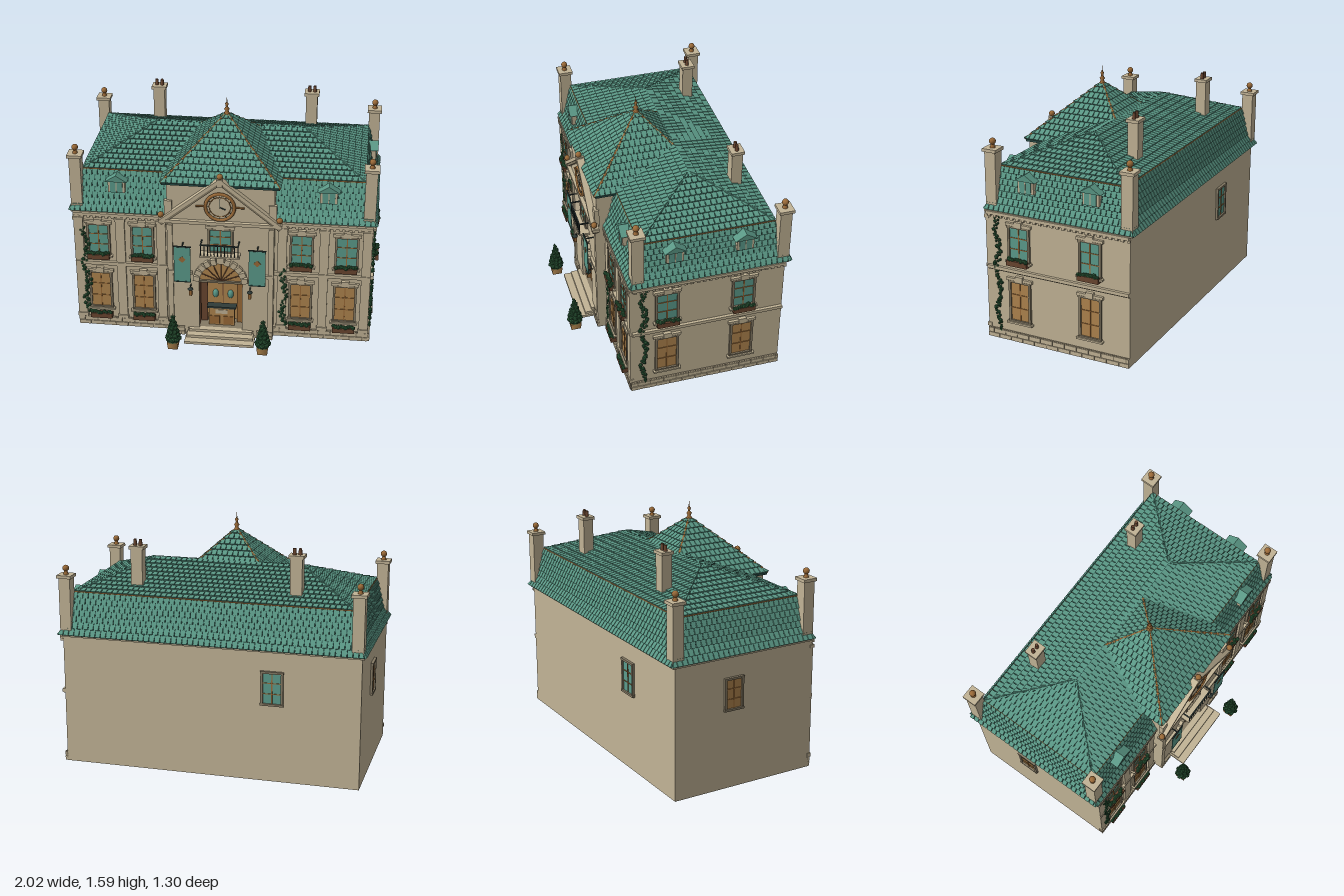
import * as THREE from 'three';

const M = {};
for (const [n, c] of Object.entries({
  stone: 0xc2b496, stoneShade: 0x857a64, tile: 0x5a9785, tileGap: 0x2b4f49, glass: 0x5c9c8c,
  wood: 0xb0854e, darkWood: 0x6a4630, copper: 0x9a6a38, leaf: 0x2c5a38, iron: 0x2f3b38,
})) { M[n] = new THREE.MeshStandardMaterial({ color: c }); M[n].name = n; }
M.stone.side = M.glass.side = THREE.DoubleSide;

let seed = 7;
const rnd = () => (seed = (seed * 16807) % 2147483647) / 2147483647;
const V = (x, y, z) => new THREE.Vector3(x, y, z);

function put(p, name, geo, mat, x = 0, y = 0, z = 0) {
  const m = new THREE.Mesh(geo, mat);
  m.name = name; m.position.set(x, y, z); p.add(m);
  return m;
}
const box = (p, name, mat, w, h, d, x, y, z) => put(p, name, new THREE.BoxGeometry(w, h, d), mat, x, y, z);
const ballGeo = new THREE.SphereGeometry(1, 14, 10), leafGeo = new THREE.IcosahedronGeometry(1, 0);
const ball = (p, name, mat, r, x, y, z) => { const m = put(p, name, ballGeo, mat, x, y, z); m.scale.setScalar(r); return m; };
const leaf = (p, r, x, y, z) => { const m = put(p, 'leaf', leafGeo, M.leaf, x, y, z); m.scale.setScalar(r); m.rotation.set(rnd() * 6, rnd() * 6, 0); };
function group(p, name, x = 0, y = 0, z = 0, ry = 0) {
  const g = new THREE.Group();
  g.name = name; g.position.set(x, y, z); g.rotation.y = ry; p.add(g);
  return g;
}
function rod(p, name, mat, a, b, r) {
  const m = put(p, name, new THREE.CylinderGeometry(r, r, a.distanceTo(b), 6), mat);
  m.position.copy(a).lerp(b, 0.5);
  m.quaternion.setFromUnitVectors(V(0, 1, 0), b.clone().sub(a).normalize());
}
const extrude = (s, depth) => new THREE.ExtrudeGeometry(s, { depth, bevelEnabled: false, curveSegments: 16 });
function archShape(r, y0, y1, S = THREE.Shape) {
  const s = new S();
  s.moveTo(-r, y0); s.lineTo(r, y0); s.lineTo(r, y1); s.absarc(0, y1, r, 0, Math.PI); s.lineTo(-r, y0);
  return s;
}
const rectShape = (w, y0, y1, S = THREE.Shape) => new S([[-w, y0], [w, y0], [w, y1], [-w, y1]].map(q => new THREE.Vector2(...q)));

// Roof slope a-b-c-d covered with staggered, lifted tiles
function slope(base, tiles, a, b, c, d, rows, w = 0.036) {
  const u = b.clone().sub(a).normalize(), n = b.clone().sub(a).cross(d.clone().sub(a)).normalize();
  const quad = (out, p, q, r, s) => [p, q, r, p, r, s].forEach(v => out.push(v.x, v.y, v.z));
  quad(base, a, b, c, d);
  const S = p => p.clone().sub(a).dot(u);
  for (let r = 0; r < rows; r++) {
    const v0 = r / rows, v1 = Math.min(1, (r + 1.05) / rows);
    const L0 = a.clone().lerp(d, v0), R0 = b.clone().lerp(c, v0), L1 = a.clone().lerp(d, v1), R1 = b.clone().lerp(c, v1);
    const at = (L, R, s, h) => L.clone().addScaledVector(u, Math.max(S(L), Math.min(S(R), s)) - S(L)).addScaledVector(n, h);
    for (let s = -(r % 2) * w / 2; s < S(R0); s += w) {
      const e = s + w * 0.87;
      if (e < S(L0) + 0.003) continue;
      const p = at(L0, R0, s, 0.012), q = at(L0, R0, e, 0.012), t = at(L1, R1, e, 0.003), k = at(L1, R1, s, 0.003);
      const p0 = at(L0, R0, s, 0), q0 = at(L0, R0, e, 0);
      quad(tiles, p, q, t, k); quad(tiles, p0, q0, q, p); quad(tiles, p0, p, k, k); quad(tiles, q, q0, t, t);
    }
  }
}
function roof(p, name, bands) {
  const base = [], tiles = [];
  bands.forEach(([lo, hi, rows]) => { for (let i = 0; i < 4; i++) { const j = (i + 1) % 4; slope(base, tiles, lo[i], lo[j], hi[j], hi[i], rows); } });
  [[base, M.tileGap, ' underlay'], [tiles, M.tile, ' tiles']].forEach(([arr, mat, suffix]) => {
    const g = new THREE.BufferGeometry();
    g.setAttribute('position', new THREE.Float32BufferAttribute(arr, 3));
    g.computeVertexNormals();
    put(p, name + suffix, g, mat);
  });
}
const ring = (x, z0, z1, y) => [V(-x, y, z1), V(x, y, z1), V(x, y, z0), V(-x, y, z0)];

function flowerBox(p, x, y) {
  box(p, 'flowerBox', M.darkWood, 0.145, 0.035, 0.04, x, y, 0.025);
  for (let i = 0; i < 9; i++) leaf(p, 0.012 + rnd() * 0.005, x - 0.064 + i * 0.016, y + 0.022, 0.02 + rnd() * 0.02);
}
function windowUnit(p, x, y, w, h, pane, trim = true) {
  const g = group(p, 'window', x, y, 0);
  box(g, 'pane', pane, w, h, 0.04, 0, 0, -0.014);
  for (const s of [-1, 1]) {
    box(g, 'jamb', M.stoneShade, 0.015, h, 0.02, s * w / 2, 0, 0.005);
    box(g, 'head', M.stoneShade, w + 0.02, 0.014, 0.024, 0, s * h / 2, 0.006);
    box(g, 'glazingBar', M.copper, w, 0.005, 0.006, 0, s * h / 6, 0.007);
  }
  box(g, 'mullion', M.copper, 0.007, h, 0.006, 0, 0, 0.007);
  if (!trim) return;
  box(g, 'lintel', M.stone, w + 0.04, 0.02, 0.024, 0, h / 2 + 0.013, 0.005);
  box(g, 'keystone', M.stone, 0.05, 0.035, 0.032, 0, h / 2 + 0.02, 0.006);
  box(g, 'sill', M.stone, w + 0.04, 0.012, 0.035, 0, -h / 2 - 0.01, 0.01);
}
function plinth(p, x0, x1) {
  box(p, 'plinthCore', M.stoneShade, x1 - x0, 0.062, 0.014, (x0 + x1) / 2, 0.032, 0.004);
  for (let r = 0; r < 2; r++) for (let s = x0 - r * 0.04; s < x1 - 0.01; s += 0.085) {
    const a = Math.max(s, x0), b = Math.min(s + 0.078, x1);
    box(p, 'plinthBlock', M.stone, b - a, 0.027, 0.02, (a + b) / 2, 0.016 + r * 0.032, 0.006);
  }
}
function trimRun(p, x0, x1) {
  const c = (x0 + x1) / 2, w = x1 - x0;
  box(p, 'stringCourse', M.stone, w, 0.022, 0.022, c, 0.486, 0.008);
  box(p, 'stringMoulding', M.stoneShade, w, 0.006, 0.014, c, 0.472, 0.005);
  box(p, 'cornice', M.stone, w, 0.02, 0.03, c, 0.85, 0.008);
  for (let s = x0 + 0.02; s < x1; s += 0.04) box(p, 'dentil', M.stone, 0.02, 0.016, 0.018, s, 0.832, 0.008);
}
function vine(p, x, y0, y1) {
  for (let y = y0; y < y1; y += 0.011) leaf(p, 0.007 + rnd() * 0.008, x + Math.sin(y * 23) * 0.012 + (rnd() - 0.5) * 0.035, y, 0.012);
}
function dormer(p, x, y, z, ry) {
  const g = group(p, 'dormer', x, y, z, ry);
  box(g, 'dormerBody', M.stone, 0.11, 0.09, 0.1, 0, 0, -0.05);
  box(g, 'dormerPane', M.glass, 0.08, 0.075, 0.006, 0, -0.006, 0.002);
  box(g, 'dormerBar', M.stone, 0.006, 0.075, 0.006, 0, -0.006, 0.004);
  const s = new THREE.Shape([new THREE.Vector2(-0.072, 0.035), new THREE.Vector2(0.072, 0.035), new THREE.Vector2(0, 0.08)]);
  put(g, 'dormerGable', extrude(s, 0.17), M.tile, 0, 0, -0.155);
}

export function createModel() {
  const root = new THREE.Group(); root.name = 'townHall';
  const W = 0.97, ZF = 0.375, ZB = -0.61, ZC = (ZF + ZB) / 2, D = ZF - ZB;

  // Hollow main walls
  const fs = rectShape(W, 0, 0.86); fs.holes.push(rectShape(0.3, 0.001, 0.8, THREE.Path));
  put(root, 'frontWall', extrude(fs, 0.015), M.stone, 0, 0, ZF - 0.015);
  box(root, 'backWall', M.stone, W * 2, 0.86, 0.015, 0, 0.43, ZB + 0.0075);
  for (const s of [-1, 1]) box(root, 'sideWall', M.stone, 0.015, 0.86, D, s * (W - 0.0075), 0.43, ZC);
  box(root, 'eaveSoffit', M.stone, 1.97, 0.012, 1.01, 0, 0.862, -0.125);

  const front = group(root, 'frontFacade', 0, 0, ZF), right = group(root, 'rightFacade', W, 0, 0, Math.PI / 2);
  const back = group(root, 'backFacade', 0, 0, ZB, Math.PI), left = group(root, 'leftFacade', -W, 0, 0, -Math.PI / 2);

  // Front wings
  for (const s of [-1, 1]) {
    const lo = s < 0 ? -W : 0.345, hi = s < 0 ? -0.345 : W;
    plinth(front, lo, hi); trimRun(front, lo, hi);
    for (const x of [0.94, 0.665, 0.395]) {
      box(front, 'pilaster', M.stone, 0.06, 0.77, 0.02, s * x, 0.45, 0.004);
      box(front, 'pilasterBase', M.stone, 0.07, 0.025, 0.03, s * x, 0.078, 0.006);
      box(front, 'pilasterCap', M.stone, 0.07, 0.02, 0.03, s * x, 0.815, 0.006);
    }
    for (const x of [0.52, 0.81]) {
      windowUnit(front, s * x, 0.665, 0.14, 0.225, M.glass); flowerBox(front, s * x, 0.545);
      windowUnit(front, s * x, 0.28, 0.14, 0.27, M.wood); flowerBox(front, s * x, 0.09);
    }
    dormer(root, s * 0.68, 1.05, 0.365, 0);
  }
  vine(front, -0.9, 0.1, 0.76); vine(front, 0.41, 0.08, 0.53);

  // Right side
  plinth(right, -ZF - 0.01, -ZB); trimRun(right, -ZF, -ZB);
  for (const z of [0.15, -0.345]) {
    windowUnit(right, -z, 0.67, 0.14, 0.22, M.glass); flowerBox(right, -z, 0.548);
    windowUnit(right, -z, 0.28, 0.14, 0.27, M.wood);
  }
  vine(right, -0.3, 0.06, 0.84);
  for (const z of [0.1, -0.345]) dormer(root, 0.965, 1.05, z, Math.PI / 2);
  windowUnit(back, 0.41, 0.62, 0.13, 0.21, M.glass, false);
  windowUnit(left, -0.2, 0.62, 0.12, 0.2, M.wood, false);

  // Mansard and hipped main roof
  const r0 = ring(0.99, -0.64, 0.385, 0.868), r1 = ring(0.95, -0.598, 0.348, 0.95), r2 = ring(0.905, -0.55, 0.305, 1.138);
  const ridge = [V(-0.49, 1.3, -0.125), V(0.49, 1.3, -0.125), V(0.49, 1.3, -0.125), V(-0.49, 1.3, -0.125)];
  roof(root, 'mainRoof', [[r0, r1, 2], [r1, r2, 5], [r2, ridge, 10]]);
  for (let i = 0; i < 4; i++) rod(root, 'curbFlashing', M.copper, r2[i], r2[(i + 1) % 4], 0.005);

  // Corner piers and chimneys
  for (const s of [-1, 1]) {
    for (const z of [0.338, -0.592]) {
      box(root, 'cornerPier', M.stone, 0.075, 0.38, 0.075, s * 0.943, 1.06, z);
      box(root, 'pierCap', M.stone, 0.096, 0.02, 0.096, s * 0.943, 1.25, z);
      put(root, 'pierNeck', new THREE.CylinderGeometry(0.01, 0.018, 0.025, 10), M.copper, s * 0.943, 1.27, z);
      ball(root, 'pierBall', M.copper, 0.021, s * 0.943, 1.3, z);
    }
    const c = group(root, 'chimney', s * 0.518, 0, -0.418);
    box(c, 'stack', M.stone, 0.076, 0.3, 0.07, 0, 1.27, 0);
    box(c, 'stackCap', M.stone, 0.098, 0.02, 0.086, 0, 1.425, 0);
    for (const x of [-0.018, 0.018]) put(c, 'pot', new THREE.CylinderGeometry(0.01, 0.013, 0.045, 10), M.darkWood, x, 1.452, 0);
  }

  // Central pavilion
  const pv = group(root, 'pavilion'), PF = 0.435;
  const ps = rectShape(0.345, 0, 1.13); ps.holes.push(archShape(0.142, 0.05, 0.42, THREE.Path));
  put(pv, 'pavilionFront', extrude(ps, 0.02), M.stone, 0, 0, PF - 0.02);
  box(pv, 'pavilionAttic', M.stone, 0.69, 0.26, 0.4, 0, 1, 0.215);
  const pf = group(pv, 'pavilionTrim', 0, 0, PF);
  for (const s of [-1, 1]) {
    box(pv, 'pavilionSide', M.stone, 0.015, 0.87, 0.075, s * 0.3375, 0.435, 0.3875);
    plinth(pf, s < 0 ? -0.345 : 0.24, s < 0 ? -0.24 : 0.345);
    box(pf, 'stringCourse', M.stone, 0.16, 0.022, 0.022, s * 0.265, 0.486, 0.006);
    box(pf, 'pavilionPilaster', M.stone, 0.035, 0.77, 0.016, s * 0.328, 0.45, 0.004);
    box(pf, 'pedimentPedestal', M.stone, 0.05, 0.13, 0.03, s * 0.335, 0.945, 0.0);
    ball(pf, 'pedimentBall', M.copper, 0.02, s * 0.38, 0.915, 0.025);
    rod(pf, 'clockBracket', M.copper, V(s * 0.09, 0.99, 0.024), V(s * 0.155, 0.99, 0.024), 0.006);
    for (const [off, d, mat] of [[0, 0.048, M.stone], [-0.02, 0.036, M.stoneShade]]) {
      const rake = box(pf, 'rakingCornice', mat, 0.49, 0.022, d, s * 0.193, 1.025 + off, 0.018);
      rake.rotation.z = -s * Math.atan2(0.31, 0.385);
    }
  }
  const tri = new THREE.Shape([new THREE.Vector2(-0.37, 0.87), new THREE.Vector2(0.37, 0.87), new THREE.Vector2(0, 1.17)]);
  put(pf, 'tympanum', extrude(tri, 0.014), M.stone);
  box(pf, 'pedimentBase', M.stone, 0.79, 0.022, 0.045, 0, 0.873, 0.016);
  box(pf, 'apexBlock', M.stone, 0.035, 0.05, 0.04, 0, 1.165, 0.025);
  ball(pf, 'apexBall', M.copper, 0.02, 0, 1.205, 0.027);

  // Clock
  const clock = group(pf, 'clock', 0, 0.99, 0.02);
  put(clock, 'clockFace', new THREE.CylinderGeometry(0.09, 0.09, 0.014, 32).rotateX(Math.PI / 2), M.stone);
  put(clock, 'clockRim', new THREE.TorusGeometry(0.092, 0.011, 8, 36), M.copper, 0, 0, 0.006);
  put(clock, 'innerRing', new THREE.TorusGeometry(0.068, 0.003, 6, 32), M.copper, 0, 0, 0.007);
  for (let i = 0; i < 12; i++) {
    const a = i * Math.PI / 6;
    box(clock, 'hourMark', M.iron, 0.004, 0.014, 0.004, Math.sin(a) * 0.075, Math.cos(a) * 0.075, 0.008).rotation.z = -a;
  }
  rod(clock, 'minuteHand', M.iron, V(0, 0, 0.011), V(0, 0.055, 0.011), 0.003);
  rod(clock, 'hourHand', M.iron, V(0, 0, 0.011), V(0.036, -0.014, 0.011), 0.004);

  // Pavilion pyramid roof with copper hips and spire
  const e = ring(0.378, -0.295, 0.452, 1.135), apex = V(0, 1.475, 0.078);
  box(pv, 'pavilionEave', M.tileGap, 0.75, 0.014, 0.7, 0, 1.126, 0.095);
  roof(pv, 'pavilionRoof', [[e, [apex, apex, apex, apex], 11]]);
  e.forEach(c => {
    rod(pv, 'hipFlashing', M.copper, c, apex, 0.007);
    for (let i = 1; i < 12; i++) ball(pv, 'hipBead', M.copper, 0.01, ...c.clone().lerp(apex, i / 12).toArray());
  });
  put(pv, 'spire', new THREE.LatheGeometry([[0.024, 1.46], [0.01, 1.485], [0.018, 1.5], [0.006, 1.515], [0.012, 1.535], [0.004, 1.545], [0, 1.585]]
    .map(q => new THREE.Vector2(...q)), 12), M.copper, 0, 0, 0.078);

  // Arched porch, doors and desk
  put(pv, 'porchBack', extrude(archShape(0.16, 0.05, 0.42), 0.01), M.wood, 0, 0, 0.29);
  for (const s of [-1, 1]) {
    box(pv, 'porchReveal', M.darkWood, 0.01, 0.38, 0.13, s * 0.15, 0.24, 0.36);
    box(pv, 'doorLeaf', s < 0 ? M.darkWood : M.copper, 0.045, 0.36, 0.012, s * 0.12, 0.24, 0.34);
    for (const y of [0.25, 0.385]) ball(pv, 'doorLight', M.glass, 0.03, s * 0.05, y, 0.3).scale.set(0.02, 0.032, 0.016);
  }
  box(pv, 'doorSeam', M.darkWood, 0.005, 0.36, 0.006, 0, 0.24, 0.302);
  box(pv, 'desk', M.wood, 0.17, 0.13, 0.04, 0, 0.125, 0.37);
  box(pv, 'deskTop', M.iron, 0.195, 0.012, 0.055, 0, 0.197, 0.37);
  box(pv, 'deskCard', M.stone, 0.08, 0.03, 0.004, 0, 0.165, 0.393);
  for (const x of [-0.045, 0.045]) box(pv, 'deskPanel', M.copper, 0.065, 0.06, 0.004, x, 0.1, 0.392);
  put(pv, 'fanlight', extrude(archShape(0.142, 0.419, 0.42), 0.008), M.wood, 0, 0, 0.415);
  box(pv, 'transom', M.stoneShade, 0.29, 0.014, 0.025, 0, 0.42, 0.425);
  for (let i = 1; i < 8; i++) {
    const a = i * Math.PI / 8;
    rod(pv, 'fanlightSpoke', M.darkWood, V(0, 0.42, 0.425), V(Math.cos(a) * 0.14, 0.42 + Math.sin(a) * 0.14, 0.425), 0.0035);
  }
  for (let i = 0; i < 11; i++) {
    const a = (i + 0.5) * Math.PI / 11, r = i === 5 ? 0.166 : 0.159;
    box(pf, 'archStone', M.stone, i === 5 ? 0.05 : 0.036, 0.042, 0.03, Math.cos(a) * r, 0.425 + Math.sin(a) * r, 0.008).rotation.z = a - Math.PI / 2;
  }

  // Steps
  box(root, 'porchFloor', M.stoneShade, 0.44, 0.02, 0.16, 0, 0.045, 0.36);
  [[0.46, 0.555], [0.44, 0.505], [0.42, 0.46]].forEach(([w, z], i) => box(root, 'step', M.stone, w, 0.018, z - 0.42, 0, 0.01 + i * 0.02, (z + 0.42) / 2));

  // Balcony
  windowUnit(pf, 0, 0.735, 0.15, 0.17, M.glass);
  box(pf, 'balconySlab', M.stone, 0.26, 0.012, 0.07, 0, 0.645, 0.035);
  box(pf, 'balconyRail', M.iron, 0.25, 0.008, 0.008, 0, 0.73, 0.066);
  for (let i = 0; i < 12; i++) box(pf, 'baluster', M.iron, 0.005, 0.085, 0.005, -0.12 + i * 0.24 / 11, 0.688, 0.066);
  for (const s of [-1, 1]) {
    box(pf, 'sideRail', M.iron, 0.008, 0.008, 0.066, s * 0.121, 0.73, 0.033);
    // Banners and lanterns
    box(pf, 'banner', M.glass, 0.108, 0.26, 0.005, s * 0.243, 0.57, 0.055);
    box(pf, 'bannerHem', M.tileGap, 0.108, 0.008, 0.008, s * 0.243, 0.444, 0.055);
    box(pf, 'bannerDiamond', M.copper, 0.034, 0.034, 0.008, s * 0.243, 0.61, 0.056).rotation.z = Math.PI / 4;
    rod(pf, 'bannerBar', M.iron, V(s * 0.185, 0.703, 0.055), V(s * 0.3, 0.703, 0.055), 0.005);
    rod(pf, 'bannerArm', M.iron, V(s * 0.243, 0.703, 0), V(s * 0.243, 0.703, 0.06), 0.005);
    rod(pf, 'lanternArm', M.iron, V(s * 0.195, 0.392, 0), V(s * 0.195, 0.392, 0.035), 0.004);
    box(pf, 'lantern', M.copper, 0.02, 0.045, 0.02, s * 0.195, 0.352, 0.033);
    put(pf, 'lanternHood', new THREE.ConeGeometry(0.02, 0.02, 8), M.iron, s * 0.195, 0.384, 0.033);

    // Potted topiary
    const t = group(root, 'topiary', s * 0.295, 0, 0.595);
    put(t, 'planter', new THREE.CylinderGeometry(0.053, 0.045, 0.05, 4).rotateY(Math.PI / 4), M.wood, 0, 0.025, 0);
    put(t, 'topiaryCore', new THREE.ConeGeometry(0.042, 0.21, 10), M.leaf, 0, 0.155, 0);
    for (let l = 0; l < 7; l++) for (let i = 0; i < 8 - l; i++) {
      const a = i * 2 * Math.PI / (8 - l) + l, r = 0.037 * (1 - l / 7.5);
      leaf(t, 0.02 - l * 0.0016, Math.cos(a) * r, 0.072 + l * 0.027, Math.sin(a) * r);
    }
  }
  return root;
}
